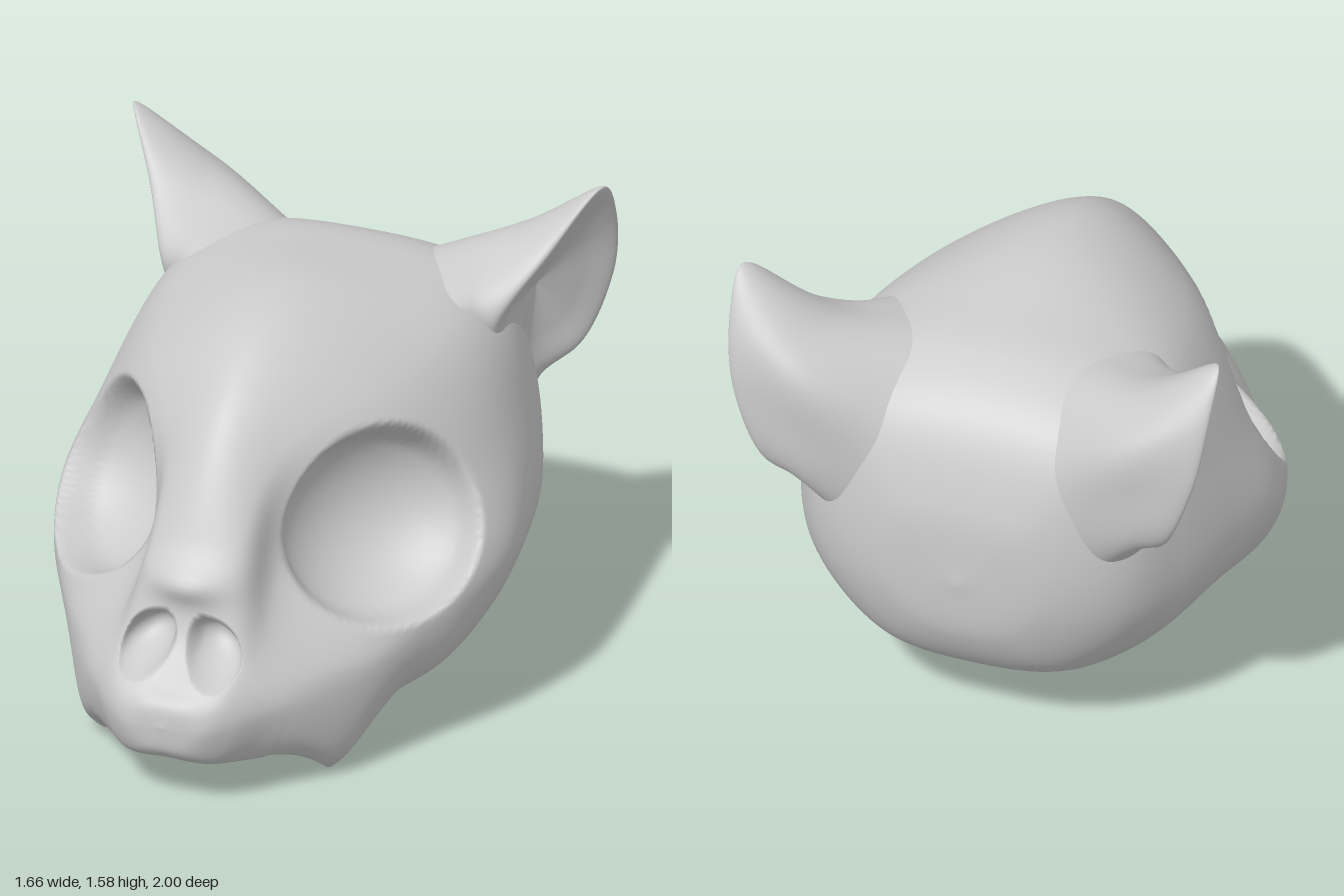
import * as THREE from 'three';
import { mergeVertices } from 'three/addons/utils/BufferGeometryUtils.js';

const { smoothstep, lerp } = THREE.MathUtils;
const V = (x, y, z) => new THREE.Vector3(x, y, z);
const material = new THREE.MeshStandardMaterial({ color: 0xcccccc });

// Smooth skin through closed loops of control points, then a rule that moves each vertex.
function skin(name, loops, around, along, flip, sculpt) {
  const rings = loops.map((pts) => new THREE.CatmullRomCurve3(pts, true, 'centripetal'));
  const strands = [];
  for (let j = 0; j < around; j++) {
    const pts = rings.map((ring) => ring.getPoint(j / around));
    strands.push(new THREE.CatmullRomCurve3(pts, false, 'centripetal'));
  }
  const pos = [];
  const index = [];
  for (let i = 0; i <= along; i++) {
    for (let j = 0; j < around; j++) {
      const p = strands[j].getPoint(i / along);
      if (sculpt) sculpt(p);
      pos.push(p.x, p.y, p.z);
      if (i === along) continue;
      const a = i * around + j;
      const b = i * around + ((j + 1) % around);
      const c = a + around;
      const d = b + around;
      if (flip) index.push(a, c, b, b, c, d);
      else index.push(a, b, c, b, d, c);
    }
  }
  const geo = new THREE.BufferGeometry();
  geo.setAttribute('position', new THREE.Float32BufferAttribute(pos, 3));
  geo.setIndex(index);
  const welded = mergeVertices(geo, 1e-5);
  welded.computeVertexNormals();
  const mesh = new THREE.Mesh(welded, material);
  mesh.name = name;
  return mesh;
}

// Skull stations, front to back:
// z, top y, brow x y, temple x y, cheek x y, jaw x y, underside y
const stations = [
  [0.985, 0.36, 0.08, 0.35, 0.12, 0.32, 0.13, 0.28, 0.08, 0.21, 0.2],
  [0.93, 0.41, 0.12, 0.41, 0.19, 0.38, 0.215, 0.3, 0.15, 0.165, 0.155],
  [0.83, 0.52, 0.13, 0.52, 0.23, 0.45, 0.3, 0.32, 0.22, 0.14, 0.15],
  [0.74, 0.77, 0.14, 0.72, 0.24, 0.53, 0.37, 0.33, 0.3, 0.14, 0.165],
  [0.52, 1.135, 0.17, 1.01, 0.24, 0.72, 0.51, 0.37, 0.41, 0.17, 0.27],
  [0.33, 1.295, 0.27, 1.13, 0.42, 0.84, 0.63, 0.45, 0.52, 0.205, 0.37],
  [0.15, 1.375, 0.37, 1.18, 0.57, 0.85, 0.72, 0.5, 0.61, 0.245, 0.39],
  [-0.1, 1.41, 0.45, 1.22, 0.67, 0.86, 0.775, 0.54, 0.6, 0.275, 0.32],
  [-0.4, 1.385, 0.5, 1.25, 0.67, 0.92, 0.72, 0.52, 0.42, 0.22, 0.18],
  [-0.65, 1.34, 0.49, 1.24, 0.63, 0.9, 0.635, 0.5, 0.38, 0.22, 0.165],
  [-0.85, 1.21, 0.4, 1.15, 0.53, 0.87, 0.51, 0.55, 0.3, 0.3, 0.25],
  [-0.97, 0.94, 0.24, 0.91, 0.31, 0.75, 0.28, 0.58, 0.16, 0.46, 0.43],
];

function skullLoop([z, top, ...rest]) {
  const side = [];
  for (let k = 0; k < 8; k += 2) side.push(V(rest[k], rest[k + 1], z));
  const other = side.map((p) => V(-p.x, p.y, p.z)).reverse();
  return [V(0, top, z), ...side, V(0, rest[8], z), ...other];
}

// Eye socket frame on the +x side: centre, outward axis, across and up directions
const eye = V(0.445, 0.75, 0.23);
const eyeOut = V(0.68, 0.4, 0.6).normalize();
const eyeAcross = V(0.66, 0, -0.75).normalize();
const eyeUp = V().crossVectors(eyeOut, eyeAcross).normalize();
if (eyeUp.y < 0) eyeUp.negate();

function sculptSkull(p) {
  const sign = p.x < 0 ? -1 : 1;
  p.x *= sign;

  // Eye socket: a round bowl sunk along its axis
  const q = p.clone().sub(eye);
  const h = q.dot(eyeOut);
  const r = Math.hypot(q.dot(eyeAcross) / 0.345, q.dot(eyeUp) / 0.31);
  if (r < 1.06 && h > -0.3) {
    const bowl = Math.min(h, -0.2 * Math.max(0, 1 - r * r) ** 0.7);
    p.addScaledVector(eyeOut, (bowl - h) * (1 - smoothstep(r, 0.92, 1.06)));
  }

  if (p.z > 0.6) {
    // Nose tip, then the nostril below it
    const { x, y } = p;
    p.z += 0.05 * Math.exp(-((x / 0.13) ** 2) - ((y - 0.71) / 0.06) ** 2);
    const slant = x - 0.115 + (y - 0.5) * 0.3;
    const n = Math.hypot(slant / 0.09, (y - 0.505) / 0.1);
    if (n < 1) p.z -= 0.12 * (1 - n * n) ** 0.7 * smoothstep(x, 0, 0.05);
  }

  // Fang: the lower jaw edge drawn down to a point
  const d = Math.hypot(p.x - 0.39, p.z - 0.52);
  const pull = Math.max(0, 1 - d / 0.26) ** 1.35;
  p.y *= 1 - pull * (1 - smoothstep(p.y, 0.2, 0.4));
  p.x *= sign;
}

// Ear loops, from the front corner over the tip and round the back;
// the base spreads out just under the skull so that the ear flares from it
const earBase = [
  [0.44, 1.25, -0.33], [0.3, 1.32, -0.5], [0.25, 1.3, -0.68], [0.26, 1.13, -0.87],
  [0.32, 0.94, -0.92], [0.44, 0.76, -0.88], [0.58, 0.76, -0.72], [0.61, 0.92, -0.5],
];
const earMiddle = [
  [0.51, 1.25, -0.4], [0.49, 1.355, -0.59], [0.55, 1.405, -0.8], [0.58, 1.32, -0.945],
  [0.59, 1.12, -0.96], [0.59, 0.9, -0.92], [0.58, 0.84, -0.71], [0.59, 0.98, -0.52],
];
const earRim = [
  [0.585, 1.2, -0.44], [0.69, 1.385, -0.6], [0.82, 1.585, -0.77], [0.825, 1.45, -0.87],
  [0.79, 1.2, -0.93], [0.68, 0.93, -0.9], [0.58, 0.91, -0.72], [0.58, 1.03, -0.55],
];
const earHollow = [0.59, 1.2, -0.76];

function ear(name, side) {
  const inner = earRim.map((p) => p.map((v, k) => lerp(v, earHollow[k], 0.4)));
  const centre = earRim.map(() => earHollow);
  const loops = [earBase, earMiddle, earRim, inner, centre].map((loop) =>
    loop.map(([x, y, z]) => V(side * x, y, z)));
  return skin(name, loops, 72, 64, side > 0);
}

export function createModel() {
  const model = new THREE.Group();
  model.name = 'catSkull';
  const loops = stations.map(skullLoop);
  const pole = (y, z) => loops[0].map(() => V(0, y, z));
  const all = [pole(0.29, 1), ...loops, pole(0.66, -1)];
  model.add(skin('skull', all, 240, 195, false, sculptSkull));
  model.add(ear('leftEar', 1), ear('rightEar', -1));
  return model;
}
